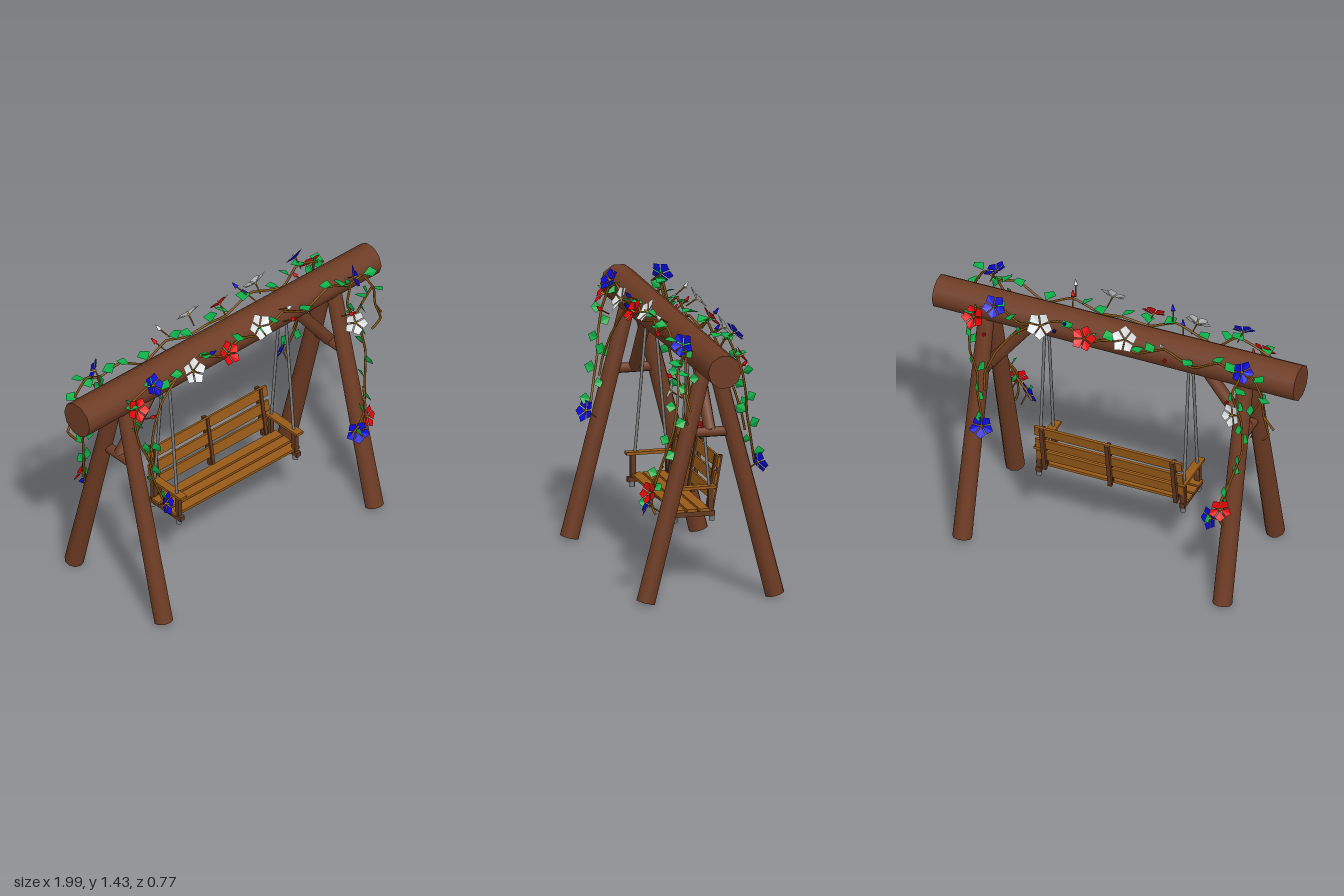
import * as THREE from 'three';

const V = (x, y, z) => new THREE.Vector3(x, y, z);
const mat = (name, color, double) => {
  const m = new THREE.MeshStandardMaterial({ color });
  m.name = name;
  if (double) m.side = THREE.DoubleSide;
  return m;
};

export function createModel() {
  const M = {
    log: mat('log wood', 0x6e3c24), slat: mat('bench wood', 0x985a18), frame: mat('dark bench wood', 0x62381f),
    vine: mat('vine stem', 0x825210), metal: mat('metal', 0x7c7c7c), leaf: mat('leaf green', 0x0cb048, true),
    red: mat('red petal', 0xec0408, true), blue: mat('blue petal', 0x0a0adc, true),
    white: mat('white petal', 0xe8ecec, true), pollen: mat('pollen yellow', 0xc8a020),
  };
  const model = new THREE.Group();
  model.name = 'gardenSwing';

  const add = (parent, name, geo, material) => {
    const mesh = new THREE.Mesh(geo, material);
    mesh.name = name;
    parent.add(mesh);
    return mesh;
  };
  // round bar between two points
  const bar = (parent, name, a, b, r, material, sides = 8, r2 = r) => {
    const m = add(parent, name, new THREE.CylinderGeometry(r2, r, a.distanceTo(b), sides), material);
    m.position.copy(a).lerp(b, 0.5);
    m.quaternion.setFromUnitVectors(V(0, 1, 0), b.clone().sub(a).normalize());
    return m;
  };
  const box = (parent, name, w, h, d, x, y, z, material) => {
    const m = add(parent, name, new THREE.BoxGeometry(w, h, d), material);
    m.position.set(x, y, z);
    return m;
  };

  // log frame
  bar(model, 'topBeam', V(-1, 1.25, 0), V(0.99, 1.252, 0), 0.096, M.log, 10, 0.087);
  for (const s of [-1, 1]) {
    for (const f of [-1, 1]) bar(model, 'leg', V(s * 0.715, 0.015, f * 0.338), V(s * 0.712, 1.2, f * 0.035), 0.05, M.log, 10, 0.042);
    bar(model, 'legTie', V(s * 0.71, 0.877, -0.1), V(s * 0.71, 0.877, 0.1), 0.026, M.log);
    bar(model, 'brace', V(s * 0.71, 0.88, 0), V(s * 0.47, 1.2, 0), 0.032, M.log);
  }

  // bench
  const bench = new THREE.Group();
  bench.name = 'bench';
  model.add(bench);
  for (const z of [0.075, 0.01, -0.055]) box(bench, 'seatSlat', 0.84, 0.015, 0.053, 0, 0.397, z, M.slat);
  const back = new THREE.Group();
  back.name = 'backrest';
  back.position.set(0, 0.39, -0.09);
  back.rotation.x = -0.17;
  bench.add(back);
  for (const y of [0.083, 0.165, 0.25]) box(back, 'backSlat', 0.81, 0.058, 0.014, 0, y, 0, M.slat);
  for (const x of [-0.36, 0, 0.36]) {
    box(back, 'backPostRear', 0.022, 0.28, 0.018, x, 0.143, -0.016, M.frame);
    box(back, 'backPostFront', 0.018, 0.27, 0.01, x, 0.145, 0.01, M.frame);
  }
  for (const s of [-1, 1]) {
    box(bench, 'seatBearer', 0.03, 0.025, 0.235, s * 0.395, 0.376, 0.007, M.frame);
    box(bench, 'armRest', 0.045, 0.015, 0.25, s * 0.395, 0.512, 0.008, M.slat);
    box(bench, 'armPost', 0.026, 0.13, 0.026, s * 0.395, 0.445, 0.095, M.frame);
    box(bench, 'rearArmPost', 0.026, 0.13, 0.026, s * 0.395, 0.445, -0.09, M.frame);
    for (const z of [-0.098, 0.098]) {
      bar(bench, 'hangingRope', V(s * 0.396, 0.35, z), V(s * 0.396, 1.19, z * 0.25), 0.008, M.metal, 6);
      bar(bench, 'ropeNut', V(s * 0.396, 0.336, z), V(s * 0.396, 0.362, z), 0.015, M.metal, 6);
    }
  }

  // one climbing plant, used on the front and turned round for the back
  const plant = new THREE.Group();
  plant.name = 'frontClimber';
  let seed = 7;
  const rnd = () => (seed = (seed * 16807) % 2147483647) / 2147483647;
  const jit = (a) => (rnd() * 2 - 1) * a;

  // folded kite blade for leaves and petals
  const blade = (w, widest, fold) => {
    const g = new THREE.BufferGeometry();
    const l = [-w, widest, fold], r = [w, widest, fold], base = [0, 0, 0], tip = [0, 1, 0];
    g.setAttribute('position', new THREE.Float32BufferAttribute([base, tip, l, base, r, tip].flat(), 3));
    g.computeVertexNormals();
    return g;
  };
  const leafGeo = blade(0.5, 0.55, 0.1), petalGeo = blade(0.43, 0.64, 0.05);
  const leaf = (p, dir, normal, size) => {
    const m = add(plant, 'leaf', leafGeo, M.leaf);
    const y = dir.clone().normalize();
    const x = y.clone().cross(normal).normalize();
    m.quaternion.setFromRotationMatrix(new THREE.Matrix4().makeBasis(x, y, x.clone().cross(y)));
    m.position.copy(p);
    m.scale.setScalar(size);
  };

  const vines = [
    // along the beam, hanging off its end
    { n: 0, pts: [[-0.78, 1.27, 0.12], [-0.7, 1.31, 0.12], [-0.6, 1.34, 0.12], [-0.5, 1.26, 0.11], [-0.4, 1.29, 0.11],
      [-0.27, 1.34, 0.11], [-0.12, 1.27, 0.12], [0.02, 1.3, 0.1], [0.15, 1.27, 0.12], [0.3, 1.33, 0.11], [0.45, 1.26, 0.11],
      [0.6, 1.34, 0.12], [0.72, 1.3, 0.14], [0.8, 1.33, 0.15], [0.86, 1.23, 0.17], [0.87, 1.12, 0.17], [0.92, 1.04, 0.16]] },
    // down the right leg
    { n: 8, pts: [[-0.72, 1.3, 0.13], [-0.75, 1.18, 0.16], [-0.74, 1.07, 0.18], [-0.69, 0.95, 0.2], [-0.68, 0.84, 0.22], [-0.64, 0.7, 0.25]] },
    // down the left leg
    { n: 10, pts: [[0.74, 1.32, 0.14], [0.69, 1.2, 0.16], [0.75, 1.06, 0.18], [0.77, 0.9, 0.21], [0.73, 0.75, 0.25], [0.69, 0.6, 0.29], [0.64, 0.53, 0.3], [0.6, 0.48, 0.285]] },
    // slack loop and side twigs
    { n: 2, pts: [[-0.42, 1.28, 0.11], [-0.53, 1.19, 0.12], [-0.61, 1.08, 0.15], [-0.66, 0.95, 0.18], [-0.65, 0.86, 0.2]] },
    { n: 2, pts: [[0.86, 1.23, 0.16], [0.82, 1.15, 0.14], [0.78, 1.08, 0.13]] },
    { n: 0, pts: [[0.87, 1.12, 0.17], [0.9, 1.02, 0.18], [0.86, 0.96, 0.16]] },
    { n: 0, pts: [[0.72, 0.72, 0.25], [0.69, 0.62, 0.3], [0.68, 0.5, 0.295], [0.69, 0.46, 0.28]] },
  ];
  for (const v of vines) {
    const curve = new THREE.CatmullRomCurve3(v.pts.map((p) => V(...p)), false, 'catmullrom', 0.2);
    add(plant, 'vine', new THREE.TubeGeometry(curve, v.pts.length * 4, 0.0065, 5), M.vine);
    // leaves on hanging stems face sideways
    for (let i = 0; i < v.n; i++) {
      leaf(curve.getPointAt((i + 0.5) / v.n), V(jit(0.4), 0.3 + jit(0.5), i % 2 ? 1 : -1), V(1, 0.35 + jit(0.2), jit(0.3)), 0.054 + rnd() * 0.014);
    }
  }
  // leaves along the beam lie nearly flat, facing up
  for (const [x, y, z] of [[-0.78, 1.28, 0.12], [-0.64, 1.34, 0.1], [-0.54, 1.31, 0.11], [-0.45, 1.3, 0.09], [-0.21, 1.33, 0.09], [-0.12, 1.3, 0.1],
    [0.02, 1.32, 0.08], [0.13, 1.29, 0.09], [0.24, 1.32, 0.09], [0.44, 1.29, 0.09], [0.57, 1.34, 0.08], [0.68, 1.33, 0.09],
    [0.81, 1.33, 0.15], [0.87, 1.22, 0.15], [0.76, 1.24, 0.16]]) {
    leaf(V(x, y, z), V(jit(0.8), 0.1, 0.55 + jit(0.3)), V(jit(0.4), 1, 0.4 + jit(0.2)), 0.066 + rnd() * 0.014);
  }

  // five petalled flowers on short stalks
  const flower = (color, x, y, z, nx, ny, nz, size) => {
    const g = new THREE.Group();
    g.name = color + 'Flower';
    g.position.set(x, y, z);
    g.quaternion.setFromUnitVectors(V(0, 0, 1), V(nx, ny, nz).normalize());
    for (let i = 0; i < 5; i++) {
      const pivot = new THREE.Group();
      pivot.rotation.z = (i * Math.PI * 2) / 5 + x;
      const m = add(pivot, 'petal', petalGeo, M[color]);
      m.position.y = 0.005;
      m.rotation.x = 0.25;
      m.scale.setScalar(size);
      g.add(pivot);
    }
    bar(g, 'stamen', V(0, 0, -0.004), V(0, 0, 0.022), 0.007, M.pollen, 5, 0.004);
    plant.add(g);
    bar(plant, 'flowerStalk', V(x + 0.01, y - 0.035, z - 0.05), V(x, y, z), 0.004, M.vine, 5);
  };
  flower('red', -0.73, 1.265, 0.155, -0.1, 0.55, 0.85, 0.061);
  flower('blue', -0.62, 1.36, 0.15, 0.2, 0.6, 0.8, 0.06);
  flower('white', -0.36, 1.325, 0.165, 0, 0.5, 0.85, 0.07);
  flower('red', -0.12, 1.315, 0.165, 0.1, 0.6, 0.8, 0.064);
  flower('white', 0.1, 1.365, 0.155, 0, 0.6, 0.8, 0.069);
  flower('blue', 0.74, 1.345, 0.15, 0.7, 0.35, 0.6, 0.06);
  flower('white', 0.71, 1.1, 0.2, -0.4, 0.3, 0.9, 0.062);
  flower('blue', -0.64, 0.685, 0.27, 0.4, 0.3, 0.85, 0.06);
  flower('red', 0.69, 0.575, 0.31, 0.4, 0.3, 0.85, 0.057);
  flower('blue', 0.635, 0.5, 0.3, -0.5, 0.25, 0.8, 0.06);

  // closed buds
  for (const [color, x, y, z] of [['blue', -0.29, 1.3, 0.15], ['red', 0.32, 1.3, 0.16], ['blue', -0.23, 1.37, 0.16],
    ['red', 0.68, 1.17, 0.2], ['white', 0.3, 1.38, 0.15], ['red', -0.66, 1.2, 0.19]]) {
    bar(plant, 'budStalk', V(x - 0.02, y - 0.03, z - 0.05), V(x, y, z), 0.004, M.vine, 5);
    bar(plant, 'bud', V(x, y, z), V(x + 0.012, y + 0.022, z + 0.022), 0.012, M[color], 5, 0.003);
  }
  model.add(plant);
  const rear = plant.clone();
  rear.name = 'backClimber';
  rear.rotation.y = Math.PI;
  model.add(rear);
  return model;
}
